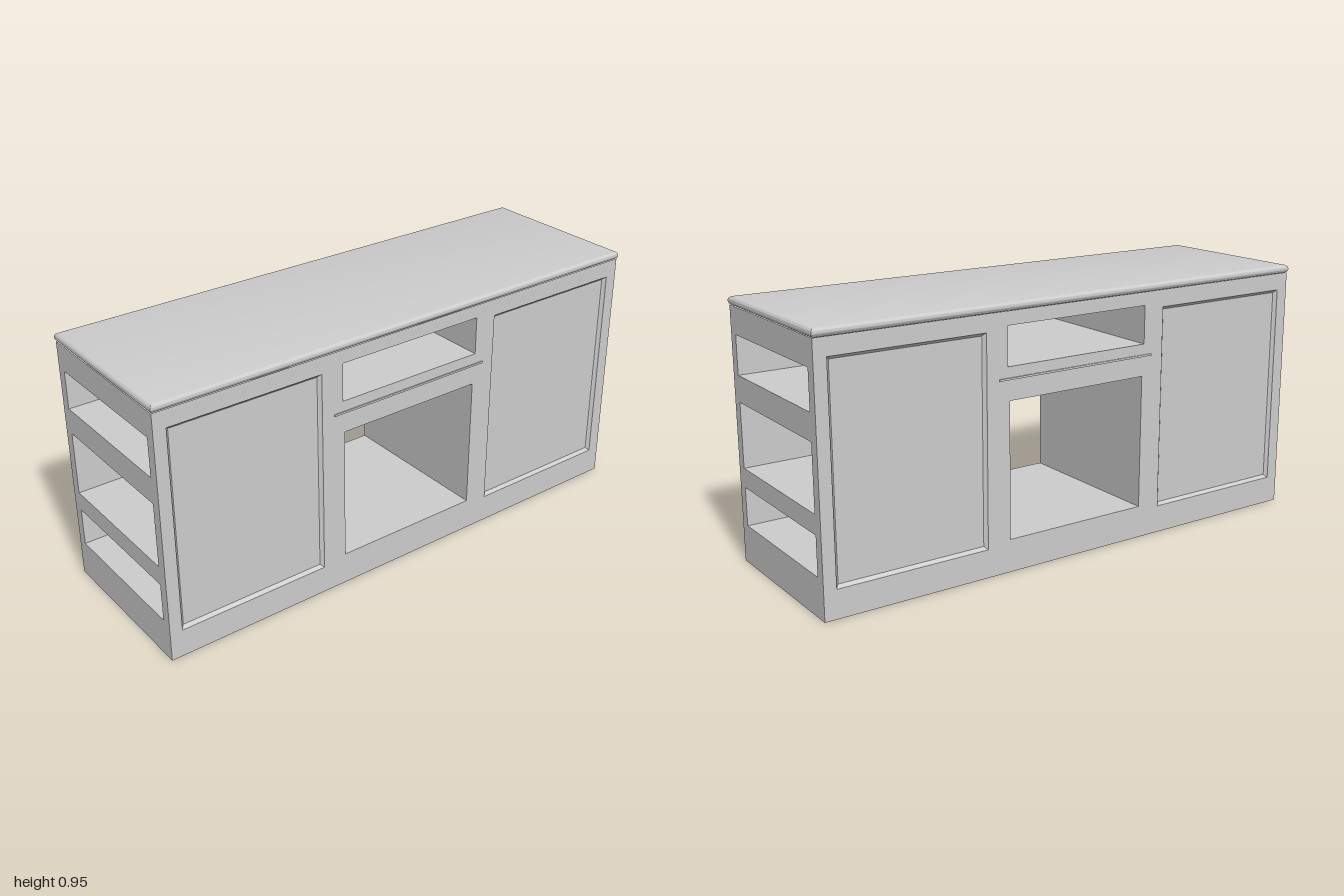
import * as THREE from 'three';
import { toCreasedNormals } from 'three/addons/utils/BufferGeometryUtils.js';

const material = new THREE.MeshStandardMaterial({ color: 0xcccccc });
const BODY_X = 0.312, BODY_Z = 0.994, BODY_TOP = 0.92;

function add(parent, geometry, name) {
  const mesh = new THREE.Mesh(geometry, material);
  mesh.name = name;
  parent.add(mesh);
  return mesh;
}

// Corners of a rectangle, counter-clockwise, shrunk by inset and pushed back by depth
function ring({ u, y0, y1 }, inset, depth) {
  const a = u[0] + inset, b = u[1] - inset, c = y0 + inset, d = y1 - inset;
  return [[a, c, -depth], [b, c, -depth], [b, d, -depth], [a, d, -depth]];
}

// Inward-facing walls joining successive rings, with an optional back
function recess(rect, steps, closed) {
  const rings = steps.map(([inset, depth]) => ring(rect, inset, depth));
  const points = [];
  for (let k = 0; k < rings.length - 1; k++) {
    const a = rings[k], b = rings[k + 1];
    for (let i = 0; i < 4; i++) {
      const j = (i + 1) % 4;
      points.push(a[i], a[j], b[j], a[i], b[j], b[i]);
    }
  }
  if (closed) {
    const b = rings[rings.length - 1];
    points.push(b[0], b[1], b[2], b[0], b[2], b[3]);
  }
  const geometry = new THREE.BufferGeometry();
  geometry.setAttribute('position', new THREE.Float32BufferAttribute(points.flat(), 3));
  geometry.computeVertexNormals();
  return geometry;
}

// A cabinet face pierced by recesses
function cabinetFace(name, halfWidth, recesses) {
  const group = new THREE.Group();
  group.name = name;
  const toVectors = (corners) => corners.map(([x, y]) => new THREE.Vector2(x, y));
  const shape = new THREE.Shape(toVectors(ring({ u: [-halfWidth, halfWidth], y0: 0, y1: BODY_TOP }, 0, 0)));
  for (const r of recesses) {
    shape.holes.push(new THREE.Path(toVectors(ring(r, 0, 0))));
    add(group, recess(r, r.steps, r.closed), r.name);
  }
  add(group, new THREE.ShapeGeometry(shape), name + 'Board');
  return group;
}

// Half of the cabinet: one long side and one shelf end
function cabinetHalf() {
  const half = new THREE.Group();
  half.name = 'cabinetHalf';

  const tunnel = [[0, 0], [0, BODY_X]];
  const bevel = [[0, 0], [0.002, 0.004], [0.011, 0.012]];
  const side = cabinetFace('longSide', BODY_Z, [
    { name: 'doorPanel', u: [-0.948, -0.376], y0: 0.103, y1: 0.857, steps: bevel, closed: true },
    { name: 'doorPanel', u: [0.376, 0.948], y0: 0.103, y1: 0.857, steps: bevel, closed: true },
    { name: 'upperOpening', u: [-0.292, 0.292], y0: 0.732, y1: 0.871, steps: tunnel },
    { name: 'lowerOpening', u: [-0.285, 0.285], y0: 0.12, y1: 0.614, steps: tunnel },
  ]);
  side.rotation.y = Math.PI / 2;
  side.position.x = BODY_X;
  half.add(side);

  // Slim lip between the two openings
  const lip = add(side, new THREE.BoxGeometry(0.655, 0.007, 0.008), 'rail');
  lip.position.set(0, 0.69, 0);

  const shelves = [[0.142, 0.283], [0.353, 0.588], [0.683, 0.823]];
  const end = cabinetFace('shelfEnd', BODY_X, shelves.map(([y0, y1]) => (
    { name: 'shelf', u: [-0.274, 0.274], y0, y1, steps: [[0, 0], [0, 0.6]], closed: true }
  )));
  end.position.z = BODY_Z;
  half.add(end);
  return half;
}

export function createModel() {
  const model = new THREE.Group();
  model.name = 'kitchenIsland';

  // Two identical halves, turned half a circle
  for (const angle of [0, Math.PI]) {
    const half = cabinetHalf();
    half.rotation.y = angle;
    model.add(half);
  }

  // Underside
  const base = new THREE.PlaneGeometry(BODY_X * 2, BODY_Z * 2).rotateX(Math.PI / 2);
  add(model, base, 'underside');

  // Worktop with a rounded edge
  const r = 0.015, x = 0.316 - r, z = 0.9976 - r;
  const outline = new THREE.Shape([[-x, -z], [x, -z], [x, z], [-x, z]].map((p) => new THREE.Vector2(...p)));
  const top = new THREE.ExtrudeGeometry(outline, {
    depth: 0.001, bevelEnabled: true, bevelThickness: r, bevelSize: r, bevelSegments: 6,
  }).rotateX(-Math.PI / 2).translate(0, 0.918 + r, 0);
  add(model, toCreasedNormals(top, Math.PI / 5), 'worktop');

  // The island stands at a very slight turn
  model.rotation.y = 0.0075;
  const group = new THREE.Group();
  group.name = 'island';
  group.add(model);
  return group;
}
